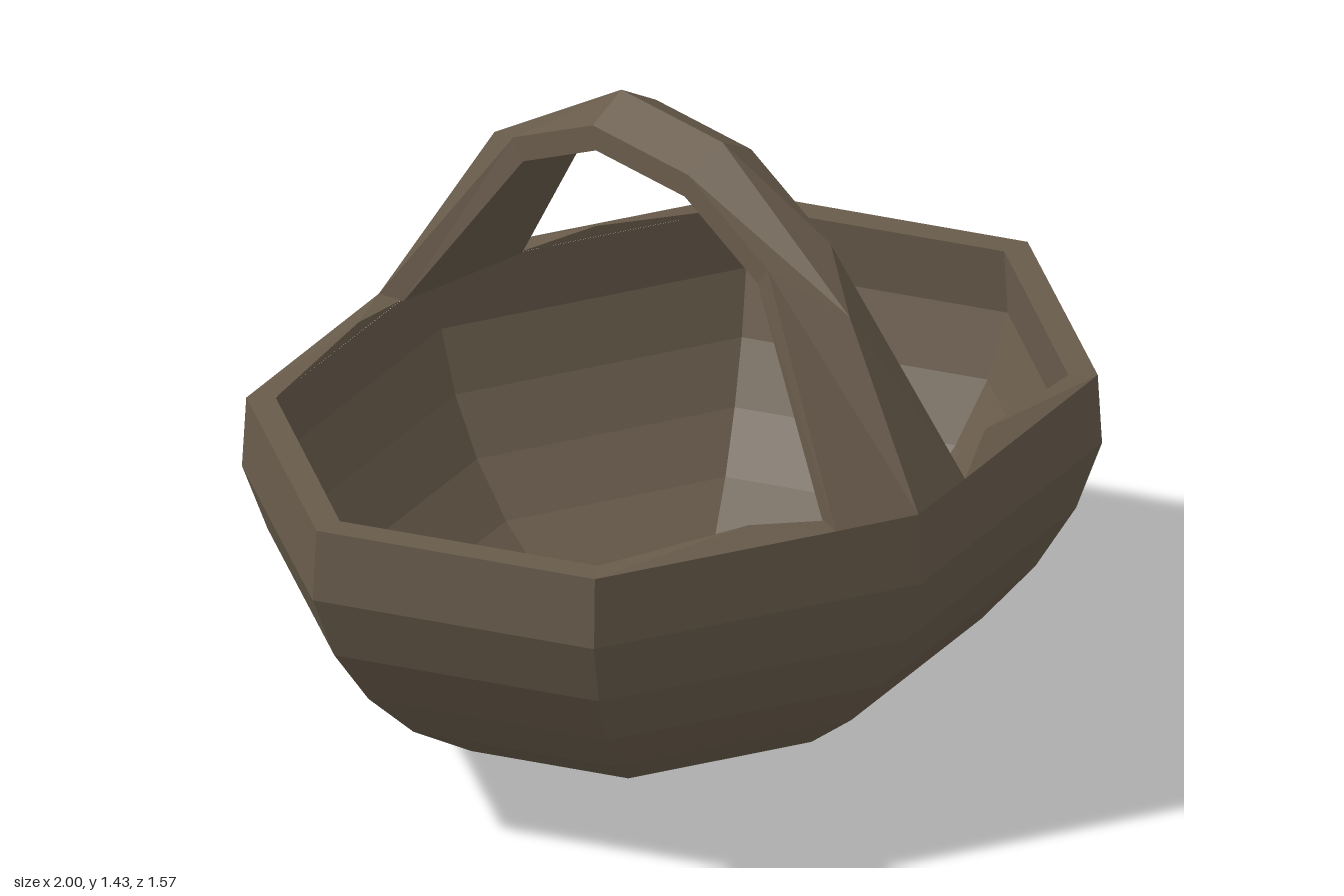
import * as THREE from 'three';

const material = new THREE.MeshStandardMaterial({ color: 0x685b4b, flatShading: true });

function meshFrom(name, triangles) {
  const geometry = new THREE.BufferGeometry();
  geometry.setAttribute('position', new THREE.Float32BufferAttribute(triangles.flat(2), 3));
  geometry.computeVertexNormals();
  const mesh = new THREE.Mesh(geometry, material);
  mesh.name = name;
  return mesh;
}

// Skin a list of closed cross-sections; inward flips the faces
function loft(rings, inward = false) {
  const tris = [];
  for (let k = 0; k < rings.length - 1; k++) {
    const a = rings[k], b = rings[k + 1], n = a.length;
    for (let i = 0; i < n; i++) {
      const j = (i + 1) % n;
      tris.push([a[i], b[i], b[j]], [a[i], b[j], a[j]]);
    }
  }
  return inward ? tris.map(([p, q, r]) => [p, r, q]) : tris;
}

// Eight-cornered oval ring
function oval(rx, rz, y) {
  return Array.from({ length: 8 }, (_, i) => {
    const a = (i * Math.PI) / 4;
    return [rx * Math.cos(a), y, rz * Math.sin(a)];
  });
}

const RIM = 0.8;
// Bowl profile: radius, height
const profile = [
  [0.001, 0], [0.2, 0.02], [0.39, 0.065], [0.56, 0.135], [0.72, 0.235],
  [0.845, 0.355], [0.94, 0.49], [1, 0.64], [0.99, RIM],
];

export function createModel() {
  const group = new THREE.Group();

  // Bowl outside and inside
  const outer = profile.map(([r, y]) => oval(r, r * 0.785, y));
  const inner = profile.map(([r, y]) => oval(r * 0.934, r * 0.727, RIM - (RIM - y) * 0.92));
  group.add(meshFrom('bowlOutside', loft(outer)));
  group.add(meshFrom('bowlInside', loft(inner, true)));

  // Rim: one quarter with a small rise beside the handle, mirrored four ways
  const [o0, o45] = outer.at(-1);
  const [i0, i45] = inner.at(-1);
  const oh = [0.18, RIM, 0.72], ih = [0.165, RIM, 0.667], peak = [0.33, 0.825, 0.614];
  const quarter = [
    [o0, i0, i45], [o0, i45, o45],
    [peak, oh, o45], [peak, ih, oh], [peak, o45, i45], [peak, i45, ih],
  ];
  const rim = [];
  for (const sx of [1, -1]) {
    for (const sz of [1, -1]) {
      for (const tri of quarter) {
        const t = tri.map(([x, y, z]) => [x * sx, y, z * sz]);
        rim.push(sx * sz > 0 ? t : t.reverse());
      }
    }
  }
  group.add(meshFrom('rim', rim));

  // Handle: five-sided section with an outer ridge, arching front to back
  // [side x, inner x, ridge z,y, side z,y, inner z,y]
  const half = [
    [0.18, 0.165, 0.777, 0.8, 0.72, 0.8, 0.66, 0.8],
    [0.088, 0.088, 0.56, 1.18, 0.4, 1.26, 0.37, 1.215],
    [0.088, 0.088, 0.16, 1.435, 0.15, 1.385, 0.14, 1.33],
  ];
  const section = ([sx, ix, rz, ry, sz, sy, iz, iy], m) => [
    [sx, sy, sz * m], [0, ry, rz * m], [-sx, sy, sz * m], [-ix, iy, iz * m], [ix, iy, iz * m],
  ];
  const arch = [
    ...half.map((s) => section(s, 1)),
    ...half.slice().reverse().map((s) => section(s, -1)),
  ];
  group.add(meshFrom('handle', loft(arch)));

  return group;
}
